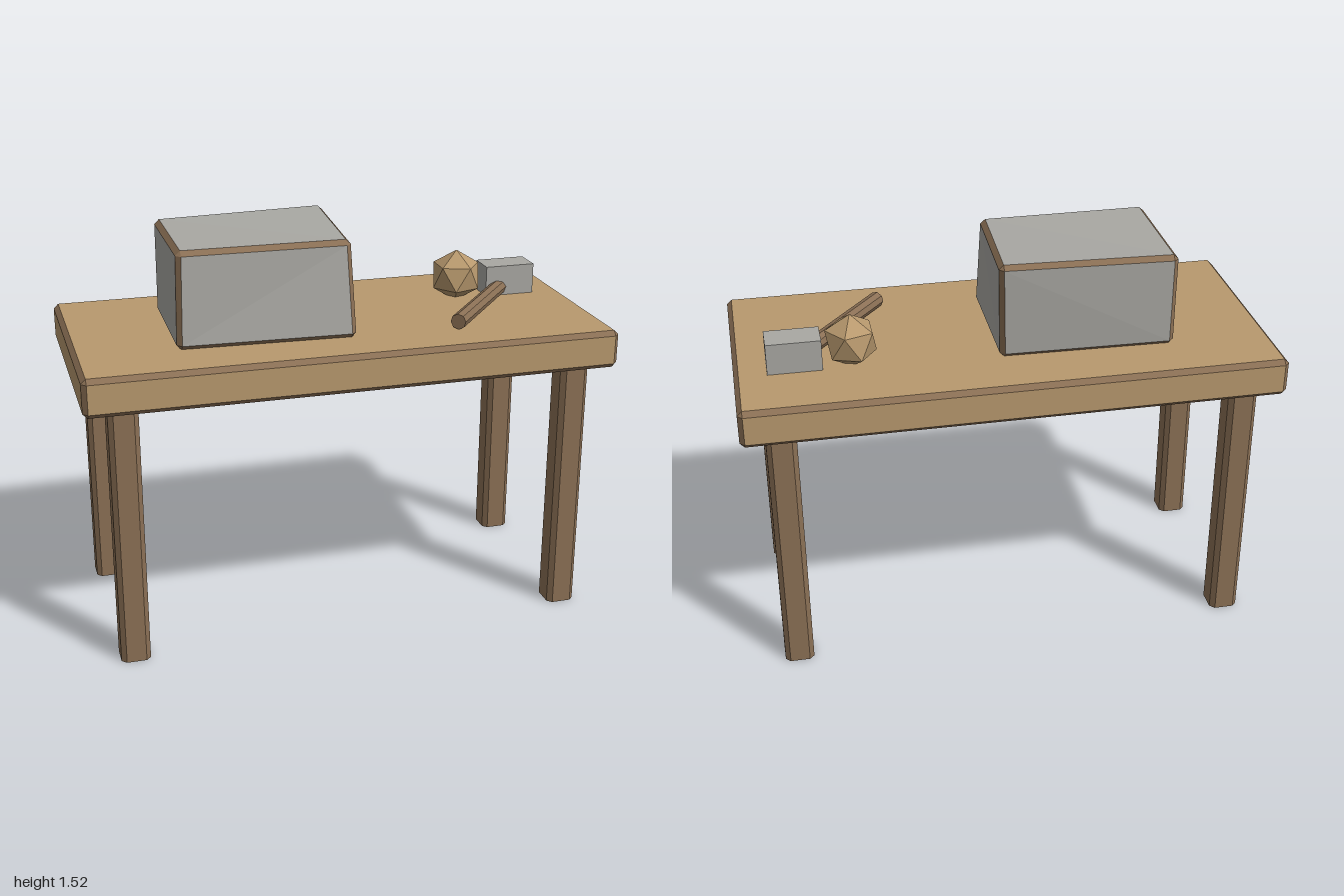
import * as THREE from 'three';

const mat = (name, color) => {
  const m = new THREE.MeshStandardMaterial({ color });
  m.name = name;
  return m;
};

// Six faces of a block; corner index bits are x = 1, y = 2, z = 4.
const FACES = [[1, 3, 7, 5], [0, 4, 6, 2], [2, 6, 7, 3], [0, 1, 5, 4], [4, 5, 7, 6], [0, 2, 3, 1]];

function geometryFrom(points, groups) {
  const g = new THREE.BufferGeometry().setFromPoints(points);
  groups.forEach(([start, count], i) => g.addGroup(start, count, i));
  g.computeVertexNormals();
  return g;
}

// Block from eight corners with bevelled edges: group 0 is faces, group 1 is bevels.
function bevelledBlock(corners, bevel) {
  const c = corners.map((p) => new THREE.Vector3(...p));
  const step = (from, to) => c[to].clone().sub(c[from]).setLength(bevel);
  const inset = FACES.map((f) => {
    const pts = {};
    f.forEach((v, i) => {
      pts[v] = c[v].clone().add(step(v, f[(i + 1) % 4])).add(step(v, f[(i + 3) % 4]));
    });
    return pts;
  });
  const points = [];
  const quad = (p, q, r, s) => points.push(p, q, r, p, r, s);

  FACES.forEach((f, k) => quad(...f.map((v) => inset[k][v])));
  const faceCount = points.length;

  // strips along the edges
  FACES.forEach((f, k) => f.forEach((a, i) => {
    const b = f[(i + 1) % 4];
    if (a > b) return;
    const other = inset.find((p, j) => j !== k && p[a] && p[b]);
    quad(inset[k][b], inset[k][a], other[a], other[b]);
  }));

  // triangles at the corners
  const centre = c.reduce((sum, p) => sum.add(p), new THREE.Vector3()).divideScalar(8);
  c.forEach((corner, v) => {
    const tri = inset.filter((p) => p[v]).map((p) => p[v]);
    const normal = new THREE.Triangle(...tri).getNormal(new THREE.Vector3());
    if (normal.dot(corner.clone().sub(centre)) < 0) tri.reverse();
    points.push(...tri);
  });
  return geometryFrom(points, [[0, faceCount], [faceCount, points.length - faceCount]]);
}

// Square post with chamfered upright edges, standing on y = 0.
function postGeometry(half, chamfer, height) {
  const s = new THREE.Shape();
  const k = half - chamfer;
  s.setFromPoints([[half, -k], [half, k], [k, half], [-k, half], [-half, k], [-half, -k], [-k, -half], [k, -half]]
    .map(([x, y]) => new THREE.Vector2(x, y)));
  return new THREE.ExtrudeGeometry(s, { depth: height, bevelEnabled: false }).rotateX(-Math.PI / 2);
}

export function createModel() {
  const tan = mat('light wood', 0xb8996e);
  const brown = mat('dark wood', 0x8b7055);
  const grey = mat('stone grey', 0xa9a8a3);
  const model = new THREE.Group();
  model.name = 'workTable';
  const add = (name, geometry, material, x = 0, y = 0, z = 0) => {
    const mesh = new THREE.Mesh(geometry, material);
    mesh.name = name;
    mesh.position.set(x, y, z);
    model.add(mesh);
    return mesh;
  };

  // table top with darker bevelled edges
  const top = [];
  for (let i = 0; i < 8; i++) {
    top.push([i & 1 ? 1 : -1, i & 2 ? 1.145 : 1.0, i & 4 ? 0.465 : -0.465]);
  }
  add('tableTop', bevelledBlock(top, 0.018), [tan, brown]);

  // four legs
  const leg = postGeometry(0.055, 0.018, 1.002);
  for (const x of [-1, 1]) {
    for (const z of [-1, 1]) {
      add(`${z > 0 ? 'front' : 'back'}${x > 0 ? 'Left' : 'Right'}Leg`, leg, brown, x * 0.855, 0, z * 0.355);
    }
  }

  // large uneven block
  add('largeBlock', bevelledBlock([
    [-0.62, 1.143, -0.255], [0.035, 1.143, -0.24],
    [-0.617, 1.507, -0.268], [0.045, 1.522, -0.268],
    [-0.63, 1.143, 0.247], [0.035, 1.143, 0.275],
    [-0.62, 1.505, 0.232], [0.022, 1.503, 0.232],
  ], 0.018), [grey, brown]);

  // faceted ball, one point up
  const phi = (1 + Math.sqrt(5)) / 2;
  add('facetedBall', new THREE.IcosahedronGeometry(0.104, 0).rotateZ(-Math.atan(1 / phi)), tan, 0.57, 1.226, -0.145);

  // small plain block
  add('smallBlock', new THREE.BoxGeometry(0.2, 0.12, 0.115), grey, 0.78, 1.204, -0.147);

  // eight-sided stick lying across the top
  const start = new THREE.Vector3(0.424, 1.175, 0.282);
  const end = new THREE.Vector3(0.752, 1.175, -0.12);
  const dir = end.clone().sub(start);
  const stickGeometry = new THREE.CylinderGeometry(0.03, 0.03, dir.length(), 8).toNonIndexed();
  stickGeometry.computeVertexNormals();
  const stick = add('stick', stickGeometry, brown);
  stick.position.copy(start).add(end).multiplyScalar(0.5);
  stick.quaternion.setFromUnitVectors(new THREE.Vector3(0, 1, 0), dir.normalize());
  return model;
}
